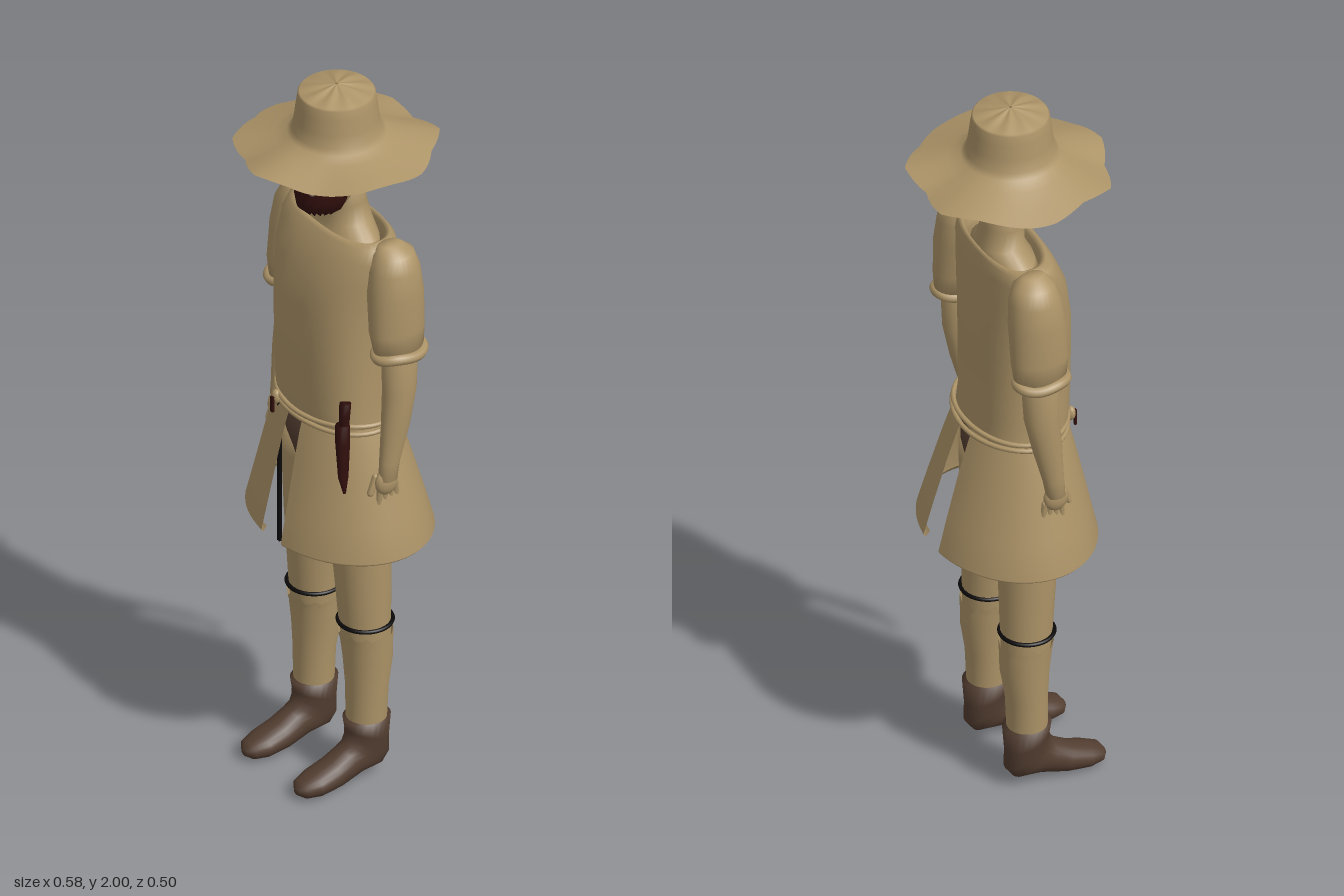
import * as THREE from 'three';

const flat = (name, color) => {
  const m = new THREE.MeshStandardMaterial({ color, side: THREE.DoubleSide });
  m.name = name;
  return m;
};

// Section: [centreX, halfWidth, frontZ, frontY, backZ, backY]; sec() makes a level one.
const sec = (y, x, r, zf, zb) => [x, r, zf, y, zb, y];

// Skin through a list of oval sections, optionally only part of the way round.
function loft(sections, { n = 24, from = 0, to = Math.PI * 2, power = 1, caps = true, jagTop = 0, jagBottom = 0 } = {}) {
  const full = to - from > 6.28, cols = full ? n : n + 1, pos = [], idx = [];
  const bend = (v) => Math.sign(v) * Math.pow(Math.abs(v), power);
  sections.forEach(([x, r, zf, yf, zb, yb], i) => {
    for (let j = 0; j < cols; j++) {
      const a = from + ((to - from) * j) / n, c = bend(Math.cos(a)), s = bend(Math.sin(a));
      const amp = i === 0 ? jagBottom : i === sections.length - 1 ? jagTop : 0;
      const jag = amp * (Math.sin(j * 2.3) + 0.5 * Math.sin(j * 4.1 + 1));
      pos.push(x + r * c, (yf + yb) / 2 + ((yf - yb) / 2) * s + jag, (zf + zb) / 2 + ((zf - zb) / 2) * s);
    }
  });
  for (let i = 0; i < sections.length - 1; i++)
    for (let j = 0; j < n; j++) {
      const k = full ? (j + 1) % n : j + 1, a = i * cols + j, b = i * cols + k;
      idx.push(a, a + cols, b, b, a + cols, b + cols);
    }
  if (caps && full)
    [0, sections.length - 1].forEach((i) => {
      const [x, , zf, yf, zb, yb] = sections[i], c = pos.length / 3;
      pos.push(x, (yf + yb) / 2, (zf + zb) / 2);
      for (let j = 0; j < n; j++) {
        const a = i * cols + j, b = i * cols + ((j + 1) % n);
        idx.push(...(i === 0 ? [c, a, b] : [c, b, a]));
      }
    });
  const g = new THREE.BufferGeometry();
  g.setAttribute('position', new THREE.Float32BufferAttribute(pos, 3));
  g.setIndex(idx);
  g.computeVertexNormals();
  return g;
}

// Closed oval cord lying flat
function cord(x, y, z, rx, rz, tube, wave = 0) {
  const pts = [];
  for (let i = 0; i < 24; i++) {
    const a = (i / 24) * Math.PI * 2;
    pts.push(new THREE.Vector3(x + rx * Math.cos(a), y + wave * Math.sin(3 * a), z + rz * Math.sin(a)));
  }
  return new THREE.TubeGeometry(new THREE.CatmullRomCurve3(pts, true), 48, tube, 8, true);
}

// Floppy hat: lathe-like rings whose rim follows an uneven outline
function hatGeometry() {
  const rim = [0.245, 0.25, 0.235, 0.235, 0.255, 0.235, 0.265, 0.24, 0.255, 0.25, 0.25, 0.265, 0.235, 0.265, 0.24, 0.25];
  const rings = [[0.245, 1.817], [0.2, 1.832], [0.155, 1.848], [0.125, 1.862], [0.113, 1.875], [0.107, 1.91], [0.102, 1.95], [0.098, 1.976], [0.094, 1.981], [0.05, 1.991], [0.004, 2]];
  const n = 64, pos = [], idx = [];
  rings.forEach(([r, y], i) => {
    for (let j = 0; j < n; j++) {
      const a = (j / n) * Math.PI * 2, k = j / 4, f = k % 1, q = Math.floor(k);
      const edge = rim[q % 16] * (1 - f) + rim[(q + 1) % 16] * f;
      const w = Math.min(1, Math.max(0, (r - 0.12) / 0.125));
      const rr = r + w * (edge - 0.245);
      const fold = r < 0.06 ? 0.003 * Math.sin(a * 9) * (r / 0.05) : 0;
      const yy = y + w * (0.008 * Math.sin(a * 5 + 0.6) + 0.007 * Math.cos(a)) + fold;
      pos.push(rr * Math.cos(a), yy, rr * Math.sin(a));
      if (i < rings.length - 1) {
        const p = i * n + j, b = i * n + ((j + 1) % n);
        idx.push(p, p + n, b, b, p + n, b + n);
      }
    }
  });
  const g = new THREE.BufferGeometry();
  g.setAttribute('position', new THREE.Float32BufferAttribute(pos, 3));
  g.setIndex(idx);
  g.computeVertexNormals();
  return g;
}

export function createModel() {
  const model = new THREE.Group();
  const tan = flat('tan cloth and skin', 0xad9468), brown = flat('brown leather', 0x523d30);
  const dark = flat('dark red brown', 0x300f0c), black = flat('black', 0x0c0909);
  const add = (name, geo, mat) => {
    const m = new THREE.Mesh(geo, mat);
    m.name = name;
    model.add(m);
    return m;
  };
  const ball = (name, mat, x, y, z, sx, sy, sz) => {
    const m = add(name, new THREE.SphereGeometry(1, 14, 10), mat);
    m.position.set(x, y, z);
    m.scale.set(sx, sy, sz);
    return m;
  };

  // Head, neck and hat
  add('hat', hatGeometry(), tan);
  add('head', loft([sec(1.652, 0, 0.03, 0.075, 0.01), sec(1.675, 0, 0.055, 0.095, -0.03), sec(1.72, 0, 0.068, 0.102, -0.075),
    sec(1.77, 0, 0.073, 0.1, -0.094), sec(1.82, 0, 0.075, 0.102, -0.096), sec(1.87, 0, 0.066, 0.085, -0.085), sec(1.9, 0, 0.03, 0.04, -0.04)]), tan);
  add('neck', loft([sec(1.53, 0, 0.135, 0.06, -0.09), sec(1.575, 0, 0.12, 0.045, -0.09), sec(1.605, 0, 0.07, 0.03, -0.09),
    sec(1.66, 0, 0.061, 0.03, -0.076), sec(1.74, 0, 0.06, 0.03, -0.075)]), tan);
  add('nose', loft([sec(1.738, 0, 0.012, 0.115, 0.09), sec(1.748, 0, 0.018, 0.132, 0.09), sec(1.77, 0, 0.012, 0.122, 0.09), sec(1.81, 0, 0.008, 0.106, 0.09)], { n: 12 }), tan);
  add('beard', loft([sec(1.652, 0, 0.04, 0.09, -0.01), sec(1.67, 0, 0.062, 0.113, -0.04), sec(1.7, 0, 0.072, 0.118, -0.065), sec(1.738, 0, 0.074, 0.11, -0.085)],
    { n: 30, from: -0.05, to: Math.PI + 0.05, jagTop: 0.011, jagBottom: 0.004 }), dark);
  add('hair', loft([sec(1.765, 0, 0.076, 0.104, -0.099), sec(1.8, 0, 0.078, 0.104, -0.1), sec(1.85, 0, 0.076, 0.1, -0.096)],
    { n: 30, from: Math.PI - 0.1, to: Math.PI * 2 + 0.1, jagBottom: 0.014 }), brown);
  for (const s of [-1, 1]) {
    ball('ear', tan, s * 0.076, 1.765, -0.01, 0.008, 0.026, 0.016);
    ball('sideburn', dark, s * 0.075, 1.785, 0.022, 0.006, 0.035, 0.012);
    ball('napeCurl', dark, s * 0.045, 1.752, -0.075, 0.017, 0.024, 0.014);
    ball('moustache', dark, s * 0.023, 1.73, 0.106, 0.024, 0.009, 0.012).rotation.z = -s * 0.2;
    ball('eye', black, s * 0.031, 1.783, 0.094, 0.011, 0.005, 0.005);
    ball('eyebrow', dark, s * 0.033, 1.807, 0.094, 0.021, 0.004, 0.008);
  }

  // Shirt body with a wide open neckline
  add('shirt', loft([sec(1.05, 0, 0.172, 0.12, -0.118), sec(1.12, 0, 0.166, 0.13, -0.113), sec(1.27, 0, 0.167, 0.134, -0.114),
    sec(1.4, 0, 0.172, 0.133, -0.115), sec(1.5, 0, 0.185, 0.115, -0.112), sec(1.565, 0, 0.195, 0.085, -0.105), sec(1.598, 0, 0.185, 0.066, -0.1),
    sec(1.608, 0, 0.16, 0.056, -0.094), sec(1.596, 0, 0.142, 0.046, -0.088), sec(1.57, 0, 0.138, 0.042, -0.085)],
    { n: 40, power: 0.82, caps: false }), tan);

  for (const s of [-1, 1]) {
    // Sleeve, rolled cuff and arm
    add('sleeve', loft([sec(1.315, s * 0.224, 0.046, 0.04, -0.098), sec(1.38, s * 0.218, 0.053, 0.05, -0.105), sec(1.48, s * 0.208, 0.064, 0.045, -0.106),
      sec(1.55, s * 0.2, 0.062, 0.035, -0.1), sec(1.59, s * 0.194, 0.048, 0.02, -0.088), sec(1.611, s * 0.185, 0.02, 0, -0.06)], { n: 28 }), tan);
    add('rolledCuff', cord(s * 0.228, 1.315, -0.028, 0.046, 0.066, 0.014, 0.003), tan);
    add('arm', loft([sec(0.95, s * 0.232, 0.02, 0.036, -0.015), sec(1.0, s * 0.231, 0.023, 0.032, -0.024), sec(1.1, s * 0.232, 0.031, 0.026, -0.052),
      sec(1.2, s * 0.228, 0.038, 0.018, -0.074), sec(1.34, s * 0.225, 0.04, 0.018, -0.082)]), tan);
    // Hand with fingers and thumb
    ball('palm', tan, s * 0.229, 0.942, 0.012, 0.019, 0.038, 0.034);
    [0.03, 0.014, -0.003, -0.019].forEach((z, i) => {
      const f = add('finger', new THREE.CapsuleGeometry(0.0085, [0.05, 0.058, 0.054, 0.04][i], 4, 8), tan);
      f.position.set(s * 0.224, 0.907, z);
      f.rotation.set((0.014 - z) * 3, 0, -s * 0.1);
    });
    const thumb = add('thumb', new THREE.CapsuleGeometry(0.009, 0.045, 4, 8), tan);
    thumb.position.set(s * 0.217, 0.935, 0.045);
    thumb.rotation.x = -0.35;

    // Skirt panel, open at front and back
    const mid = s > 0 ? 0 : Math.PI;
    add('skirtPanel', loft([sec(0.735, 0, 0.258, 0.19, -0.208), sec(0.72, 0, 0.268, 0.2, -0.22), sec(0.728, 0, 0.275, 0.205, -0.225),
      sec(0.82, 0, 0.25, 0.185, -0.2), sec(0.95, 0, 0.215, 0.157, -0.162), sec(1.03, 0, 0.192, 0.138, -0.135), sec(1.07, 0, 0.178, 0.126, -0.12)],
      { n: 32, from: mid - 1.42, to: mid + 1.42 }), tan);

    // Leg, garter and frayed stocking
    add('leg', loft([sec(0.12, s * 0.112, 0.045, 0.035, -0.055), sec(0.22, s * 0.112, 0.049, 0.038, -0.058), sec(0.36, s * 0.11, 0.058, 0.045, -0.074),
      sec(0.48, s * 0.106, 0.067, 0.058, -0.076), sec(0.7, s * 0.1, 0.078, 0.074, -0.08), sec(0.88, s * 0.092, 0.088, 0.085, -0.09), sec(0.95, s * 0.09, 0.085, 0.085, -0.09)]), tan);
    add('stocking', loft([sec(0.17, s * 0.112, 0.052, 0.042, -0.062), sec(0.27, s * 0.112, 0.056, 0.042, -0.066), sec(0.35, s * 0.11, 0.063, 0.047, -0.079),
      sec(0.41, s * 0.109, 0.067, 0.054, -0.08), sec(0.435, s * 0.108, 0.07, 0.059, -0.081)], { n: 32, caps: false, jagTop: 0.006 }), tan);
    add('garter', cord(s * 0.109, 0.464, -0.009, 0.069, 0.069, 0.0055), black);

    // Boot, from the toe back and up to the shaft
    const x = s * 0.112;
    add('boot', loft([[x, 0.012, 0.205, 0.035, 0.204, 0.018], [x, 0.035, 0.192, 0.053, 0.188, 0.008], [x, 0.047, 0.155, 0.067, 0.15, 0.003],
      [x, 0.047, 0.105, 0.085, 0.085, 0.008], [x, 0.044, 0.07, 0.106, 0.015, 0.026], [x, 0.044, 0.057, 0.12, -0.05, 0.03],
      [x, 0.047, 0.05, 0.135, -0.072, 0.06], [x, 0.049, 0.048, 0.15, -0.07, 0.11], [x, 0.054, 0.053, 0.18, -0.075, 0.178]]), brown);
  }

  // Breeches under the skirt
  add('breeches', loft([sec(0.865, 0, 0.05, 0.05, -0.06), sec(0.89, 0, 0.135, 0.09, -0.1), sec(0.95, 0, 0.172, 0.102, -0.11), sec(1.05, 0, 0.165, 0.105, -0.108)], { n: 32 }), brown);
  add('breechesPatch', loft([sec(0.885, 0.012, 0.02, 0.1, 0.06), sec(0.91, 0.012, 0.03, 0.106, 0.06), sec(0.945, 0.016, 0.02, 0.109, 0.06)], { n: 12, jagTop: 0.006 }), tan);

  // Rope belt with its knot and hanging strap
  add('upperBelt', cord(0, 1.083, 0, 0.183, 0.132, 0.0065, 0.002), tan);
  add('lowerBelt', cord(0, 1.064, -0.002, 0.185, 0.133, 0.0065, -0.002), tan);
  ball('beltKnot', tan, -0.085, 1.072, 0.126, 0.014, 0.02, 0.012);
  const strap = add('hangingStrap', new THREE.BoxGeometry(0.01, 0.44, 0.008), black);
  strap.position.set(-0.085, 0.86, 0.115);
  const strapEnd = add('strapEnd', new THREE.BoxGeometry(0.009, 0.045, 0.006), dark);
  strapEnd.position.set(-0.083, 1.055, 0.139);

  // Knife in its sheath
  add('sheath', loft([sec(0.912, 0.177, 0.003, 0.108, 0.1), sec(0.96, 0.172, 0.011, 0.119, 0.09), sec(1.05, 0.16, 0.017, 0.117, 0.078), sec(1.1, 0.155, 0.018, 0.113, 0.076)], { n: 14 }), dark);
  add('knifeHandle', loft([sec(1.09, 0.155, 0.011, 0.104, 0.076), sec(1.13, 0.155, 0.013, 0.103, 0.073), sec(1.16, 0.154, 0.015, 0.1, 0.07)], { n: 14 }), dark);

  return model;
}
